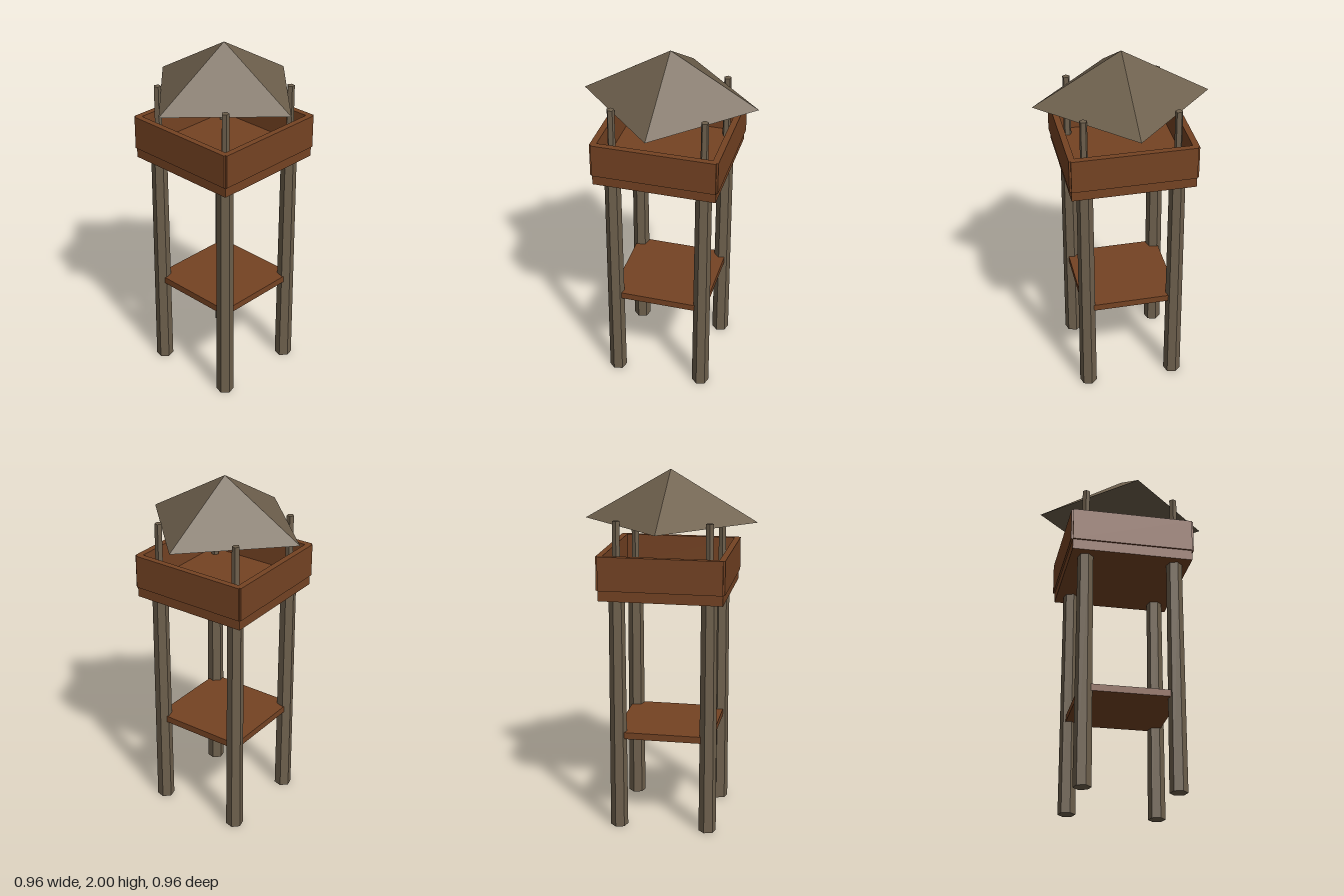
import * as THREE from 'three';

export function createModel() {
  const tower = new THREE.Group();
  tower.name = 'watchtower';

  const timber = new THREE.MeshStandardMaterial({ color: 0x6e604d, flatShading: true });
  timber.name = 'weathered timber';
  const plank = new THREE.MeshStandardMaterial({ color: 0x754323, flatShading: true });
  plank.name = 'brown planks';

  function add(name, geometry, material, x, y, z, turn = 0) {
    const mesh = new THREE.Mesh(geometry, material);
    mesh.name = name;
    mesh.position.set(x, y, z);
    mesh.rotation.y = turn;
    tower.add(mesh);
    return mesh;
  }

  // Box spanning bottom to top in height
  function slab(name, width, bottom, top, depth, x = 0, z = 0, turn = 0) {
    add(name, new THREE.BoxGeometry(width, top - bottom, depth), plank, x, (bottom + top) / 2, z, turn);
  }

  // Tapered legs and thin roof posts at the four corners
  const corner = 0.253;
  const leg = new THREE.CylinderGeometry(0.044, 0.049, 1.34, 6);
  const post = new THREE.CylinderGeometry(0.021, 0.022, 0.37, 5);
  for (const sx of [-1, 1]) {
    for (const sz of [-1, 1]) {
      add('leg', leg, timber, sx * corner, 0.67, sz * corner, Math.PI / 4);
      add('roofPost', post, timber, sx * corner, 1.565, sz * corner, Math.PI / 4);
    }
  }

  // Lower shelf and lookout floor
  slab('lowerShelf', 0.546, 0.525, 0.563, 0.546);
  slab('lookoutFloor', 0.676, 1.328, 1.39, 0.676);

  // Four parapet walls, overlapping at the corners
  for (let i = 0; i < 4; i++) {
    const a = (i * Math.PI) / 2;
    slab('parapetWall', 0.676, 1.386, 1.572, 0.034, Math.sin(a) * 0.331, Math.cos(a) * 0.331, a);
  }

  // Four-sided roof with its corners on the axes
  add('roof', new THREE.ConeGeometry(0.48, 0.28, 4), timber, 0, 1.86, 0);

  return tower;
}
